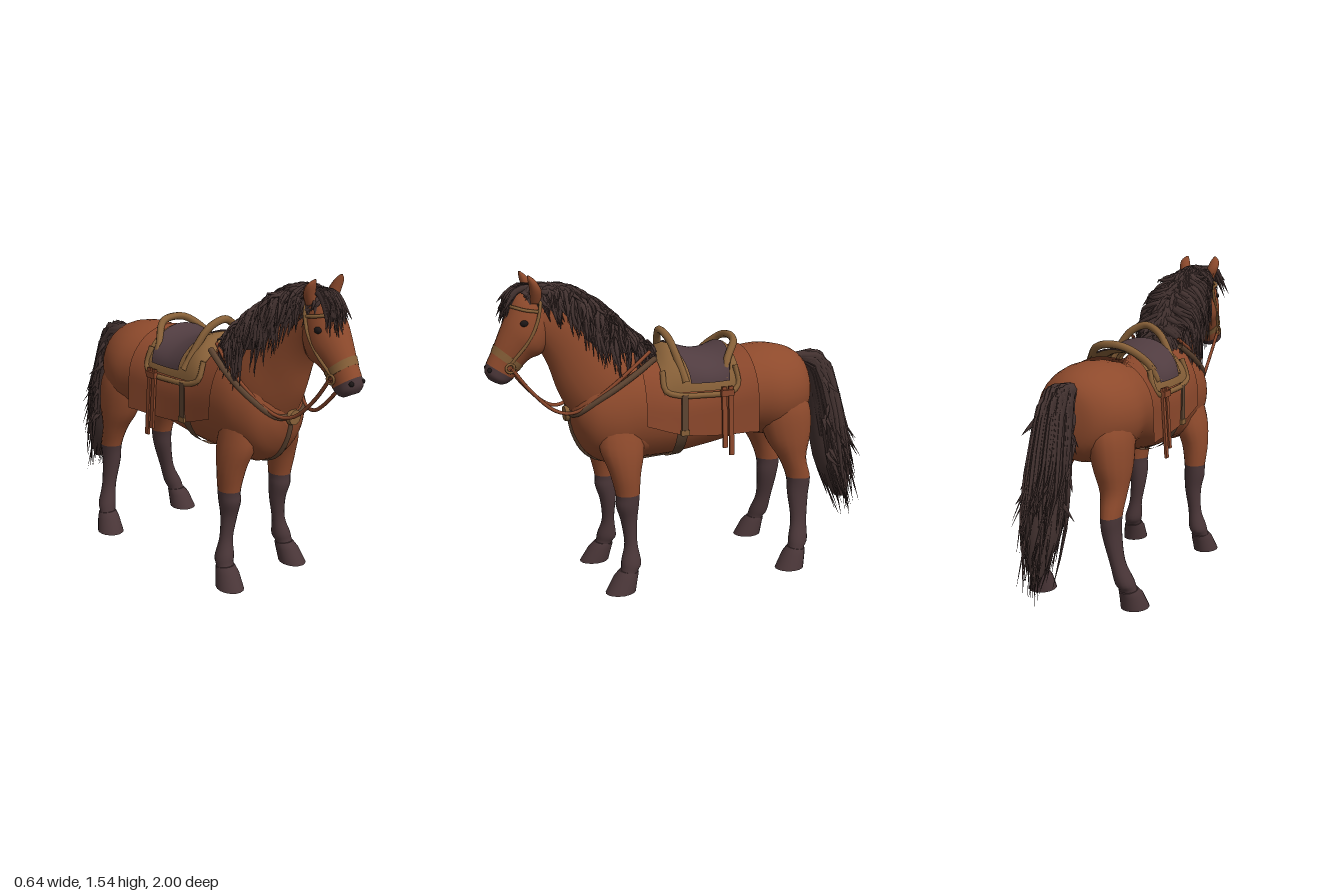
import * as THREE from 'three';
import { mergeGeometries } from 'three/addons/utils/BufferGeometryUtils.js';

const V = (x, y, z) => new THREE.Vector3(x, y, z);
const mat = (name, color, side = THREE.FrontSide) => {
  const m = new THREE.MeshStandardMaterial({ color, side });
  m.name = name;
  return m;
};

// Smoothly fills in between cross-sections (Catmull-Rom on every number)
function smooth(secs, k = 4) {
  const out = [], n = secs.length - 1;
  for (let i = 0; i < n; i++) {
    const [a, b, c, d] = [secs[Math.max(i - 1, 0)], secs[i], secs[i + 1], secs[Math.min(i + 2, n)]];
    for (let j = 0; j < k; j++) {
      const t = j / k;
      out.push(b.map((_, q) => 0.5 * (2 * b[q] + (c[q] - a[q]) * t + (2 * a[q] - 5 * b[q] + 4 * c[q] - d[q]) * t * t
        + (3 * b[q] - a[q] - 3 * c[q] + d[q]) * t * t * t)));
    }
  }
  out.push(secs[n]);
  return out;
}

// Section: [zA, yA, zB, yB, halfWidth, xCentre]; an ellipse from point A to point B
function loft(secs, N = 20) {
  const pos = [], idx = [];
  const ring = ([za, ya, zb, yb, w, x = 0]) => {
    for (let j = 0; j < N; j++) {
      const t = j / N * Math.PI * 2, c = Math.cos(t) / 2;
      pos.push(x + w * Math.sin(t), (ya + yb) / 2 + (ya - yb) * c, (za + zb) / 2 + (za - zb) * c);
    }
  };
  secs.forEach(ring);
  for (let i = 0; i < secs.length - 1; i++) for (let j = 0; j < N; j++) {
    const a = i * N + j, b = i * N + (j + 1) % N;
    idx.push(a, a + N, b, b, a + N, b + N);
  }
  const s = secs.length * N;
  ring(secs[0]);
  ring(secs[secs.length - 1]);
  for (let j = 1; j < N - 1; j++) idx.push(s, s + j, s + j + 1, s + N, s + N + j + 1, s + N + j);
  const g = new THREE.BufferGeometry();
  g.setAttribute('position', new THREE.Float32BufferAttribute(pos, 3));
  g.setIndex(idx);
  g.computeVertexNormals();
  return g;
}

// Open sheet; fn(u, v) gives a point
function sheet(nu, nv, fn) {
  const g = new THREE.PlaneGeometry(1, 1, nu, nv), p = g.attributes.position;
  for (let i = 0; i < p.count; i++) p.setXYZ(i, ...fn(p.getX(i) + 0.5, p.getY(i) + 0.5));
  g.computeVertexNormals();
  return g;
}

const curveOf = (pts) => new THREE.CatmullRomCurve3(pts.map((p) => V(...p)));
const tube = (pts, r, n = 24) => new THREE.TubeGeometry(curveOf(pts), n, r, 7);

// Tapered lock of hair
function strand(pts, r) {
  const c = curveOf(pts), n = 7, g = new THREE.TubeGeometry(c, n, r, 4), p = g.attributes.position, v = V(0, 0, 0);
  for (let i = 0; i < p.count; i++) {
    const t = Math.floor(i / 5) / n;
    v.fromBufferAttribute(p, i).lerp(c.getPointAt(t), t ** 2 * 0.97);
    p.setXYZ(i, v.x, v.y, v.z);
  }
  g.computeVertexNormals();
  return g;
}

export function createModel() {
  const root = new THREE.Group();
  let seed = 7;
  const rnd = () => (seed = (seed * 16807) % 2147483647) / 2147483647;
  const jit = (a) => (rnd() * 2 - 1) * a;
  const coat = mat('chestnut coat', 0x8e4a2c), dark = mat('dark stocking', 0x4a3638), hair = mat('hair', 0x433230);
  const tan = mat('tan leather', 0x876038, THREE.DoubleSide), seatM = mat('seat leather', 0x503c40, THREE.DoubleSide);
  const strap = mat('strap leather', 0x5f4532, THREE.DoubleSide), padM = mat('pad leather', 0x8a472b, THREE.DoubleSide);
  const black = mat('black', 0x1c1616);
  const add = (name, geo, m) => {
    const mesh = new THREE.Mesh(geo, m);
    mesh.name = name;
    root.add(mesh);
    return mesh;
  };

  // Body: z, top, bottom, half width
  const upright = (secs) => secs.map(([z, t, b, w]) => [z, t, z, b, w]);
  const body = smooth([[-0.65, 0.95, 0.82, 0.05], [-0.625, 1.04, 0.74, 0.135], [-0.55, 1.1, 0.69, 0.21], [-0.42, 1.13, 0.66, 0.252],
    [-0.28, 1.12, 0.68, 0.235], [-0.1, 1.08, 0.645, 0.207], [0.1, 1.08, 0.615, 0.2], [0.3, 1.14, 0.61, 0.205],
    [0.42, 1.11, 0.6, 0.2], [0.52, 1.05, 0.65, 0.17], [0.58, 0.98, 0.74, 0.11], [0.605, 0.92, 0.82, 0.05]]);
  add('body', loft(upright(body), 28), coat);
  add('brisket', loft(smooth(upright([[0.15, 0.8, 0.66, 0.1], [0.25, 0.86, 0.628, 0.165], [0.4, 0.92, 0.612, 0.19], [0.5, 0.94, 0.655, 0.165], [0.56, 0.92, 0.73, 0.105]]))), coat);
  // Point on the body; angle runs from the spine
  const onBody = (z, ang, off) => {
    let i = 0;
    while (i < body.length - 2 && body[i + 1][0] < z) i++;
    const f = (z - body[i][0]) / (body[i + 1][0] - body[i][0]);
    const [, t, b, w] = body[i].map((q, k) => q + (body[i + 1][k] - q) * f);
    return [(w + off) * Math.sin(ang), (t + b) / 2 + ((t - b) / 2 + off) * Math.cos(ang), z];
  };

  add('neck', loft(smooth([[0.2, 1.12, 0.5, 0.68, 0.16], [0.27, 1.17, 0.595, 0.85, 0.155], [0.4, 1.28, 0.66, 0.98, 0.118],
    [0.53, 1.4, 0.7, 1.1, 0.094], [0.65, 1.45, 0.74, 1.18, 0.08], [0.76, 1.45, 0.78, 1.22, 0.072]])), coat);
  const head = smooth([[0.76, 1.475, 0.69, 1.4, 0.05], [0.84, 1.44, 0.69, 1.25, 0.086], [0.888, 1.36, 0.73, 1.17, 0.097],
    [0.925, 1.28, 0.79, 1.145, 0.083], [0.96, 1.2, 0.84, 1.1, 0.066], [0.99, 1.14, 0.87, 1.06, 0.062],
    [1.0, 1.1, 0.9, 1.04, 0.059], [0.985, 1.065, 0.925, 1.035, 0.037]]);
  add('head', loft(head.slice(0, 21)), coat);
  add('muzzle', loft(head.slice(20)), dark);

  // Legs, ears, eyes and nostrils on both sides
  for (const s of [1, -1]) {
    const leg = (name, split, secs) => {
      const all = smooth(secs.map((q) => [...q.slice(0, 5), q[5] * s]));
      add(name + 'Upper', loft(all.slice(0, split * 4 + 1), 16), coat);
      add(name + 'Lower', loft(all.slice(split * 4), 16), dark);
    };
    leg('frontLeg', 3, [[0.48, 0.9, 0.3, 0.9, 0.05, 0.11], [0.505, 0.73, 0.28, 0.71, 0.076, 0.14], [0.465, 0.6, 0.308, 0.58, 0.066, 0.165],
      [0.435, 0.48, 0.317, 0.48, 0.053, 0.17], [0.434, 0.42, 0.322, 0.42, 0.052, 0.168], [0.41, 0.34, 0.33, 0.34, 0.042, 0.165],
      [0.398, 0.23, 0.335, 0.23, 0.034, 0.178], [0.42, 0.15, 0.322, 0.135, 0.045, 0.194], [0.425, 0.11, 0.34, 0.1, 0.042, 0.202], [0.44, 0.07, 0.36, 0.065, 0.043, 0.207]]);
    leg('hindLeg', 4, [[-0.35, 0.96, -0.54, 0.96, 0.07, 0.115], [-0.33, 0.82, -0.61, 0.83, 0.1, 0.135], [-0.37, 0.67, -0.612, 0.69, 0.088, 0.155],
      [-0.44, 0.56, -0.585, 0.56, 0.063, 0.17], [-0.48, 0.46, -0.61, 0.45, 0.049, 0.175], [-0.488, 0.37, -0.6, 0.36, 0.043, 0.178],
      [-0.497, 0.24, -0.582, 0.23, 0.034, 0.203], [-0.475, 0.15, -0.573, 0.135, 0.044, 0.23], [-0.468, 0.11, -0.552, 0.1, 0.042, 0.24], [-0.46, 0.07, -0.54, 0.065, 0.043, 0.247]]);
    add('frontHoof', loft([[0.435, 0.105, 0.338, 0.09, 0.045, 0.202 * s], [0.465, 0.075, 0.345, 0.065, 0.054, 0.206 * s], [0.51, 0, 0.36, 0, 0.062, 0.215 * s]], 16), dark);
    add('hindHoof', loft([[-0.46, 0.105, -0.555, 0.09, 0.045, 0.242 * s], [-0.43, 0.075, -0.55, 0.065, 0.055, 0.248 * s], [-0.39, 0, -0.54, 0, 0.066, 0.255 * s]], 16), dark);
    add('ear', loft(smooth([[0.79, 1.41, 0.74, 1.41, 0.022, 0.06 * s], [0.795, 1.47, 0.74, 1.47, 0.03, 0.08 * s],
      [0.803, 1.515, 0.765, 1.515, 0.024, 0.088 * s], [0.805, 1.54, 0.795, 1.54, 0.006, 0.083 * s]]).reverse(), 10), coat);
    const eye = add('eye', new THREE.SphereGeometry(0.02, 12, 8), black);
    eye.position.set(0.083 * s, 1.325, 0.825);
    eye.scale.set(0.7, 0.8, 1);
    const nostril = add('nostril', new THREE.SphereGeometry(0.012, 10, 8), black);
    nostril.position.set(0.036 * s, 1.112, 0.983);
  }

  // Mane: a full underlayer with locks falling to both sides
  add('maneBase', loft(smooth([[0.2, 1.165, 0.24, 1.1, 0.035], [0.3, 1.235, 0.4, 1.1, 0.105], [0.4, 1.335, 0.51, 1.13, 0.127],
    [0.5, 1.41, 0.58, 1.22, 0.108], [0.6, 1.465, 0.64, 1.32, 0.088], [0.7, 1.48, 0.68, 1.39, 0.07], [0.8, 1.475, 0.76, 1.43, 0.045]])), hair);
  const crest = curveOf([[0, 1.165, 0.2], [0, 1.235, 0.3], [0, 1.335, 0.4], [0, 1.41, 0.5], [0, 1.46, 0.6], [0, 1.475, 0.7], [0, 1.465, 0.8]]);
  const mane = [];
  for (let i = 0; i < 340; i++) {
    const s = i % 2 ? 1 : -1, t = rnd(), c = crest.getPointAt(t), h = rnd() ** 0.6;
    const w = 0.05 + 0.1 * Math.sin(Math.PI * t ** 0.75) + jit(0.01) - s * 0.008;
    const len = (0.07 + 0.23 * Math.sin(Math.PI * t ** 0.8)) * h * (s < 0 ? 1.3 : 1);
    mane.push(strand([[jit(0.02), c.y + jit(0.012), c.z + 0.01], [s * w * 0.65, c.y - 0.1 * len - 0.01, c.z + jit(0.02)],
      [s * w, c.y - 0.5 * len, c.z + jit(0.02)], [s * (w + 0.015), c.y - len - 0.01, c.z - 0.01 + jit(0.03)]], 0.017));
  }
  // Locks laid back along the crest
  for (let i = 0; i < 110; i++) {
    const t = 0.12 + 0.86 * rnd(), x = jit(0.075), [a, b, c] = [t, t - 0.06, t - 0.12].map((q) => crest.getPointAt(q));
    const drop = x * x * 6;
    mane.push(strand([[x * 0.5, a.y - drop * 0.5, a.z], [x, b.y + 0.012 - drop, b.z], [x * 1.1, c.y + 0.008 - drop * 1.4, c.z]], 0.018));
  }
  add('mane', mergeGeometries(mane), hair);
  const lock = [];
  for (let i = 0; i < 40; i++) {
    const x = jit(0.065) - 0.035, l = 0.06 + rnd() * 0.12;
    lock.push(strand([[x * 0.4, 1.475, 0.75], [x * 0.8, 1.47, 0.83], [x, 1.47 - l * 0.55, 0.88], [x * 1.25, 1.46 - l, 0.9 + jit(0.015)]], 0.016));
  }
  add('forelock', mergeGeometries(lock), hair);

  // Tail: full in the middle, gathered at the tip, with loose locks near the top
  add('tailBase', loft(smooth([[-0.57, 1.0, -0.58, 1.06, 0.03], [-0.66, 0.97, -0.68, 1.065, 0.055], [-0.68, 0.91, -0.78, 0.98, 0.075],
    [-0.69, 0.78, -0.84, 0.8, 0.08], [-0.71, 0.6, -0.91, 0.62, 0.088], [-0.76, 0.42, -0.95, 0.43, 0.078], [-0.87, 0.25, -0.94, 0.25, 0.025]])), hair);
  const tail = [];
  for (let i = 0; i < 190; i++) {
    const a = rnd() * Math.PI * 2, q = 0.6 + 0.4 * rnd(), x = Math.sin(a) * q, d = Math.cos(a) * q, e = 0.13 + 0.5 * rnd() ** 0.8;
    const tip = 0.025 + 0.12 * Math.min(e, 0.5);
    tail.push(strand([[x * 0.02, 1.045, -0.6], [x * 0.06, 1.02 - d * 0.03, -0.7 + d * 0.05], [x * 0.088, 0.82, -0.775 + d * 0.08],
      [x * 0.095 + jit(0.012), 0.35 + e * 0.55, -0.85 + e * 0.05 + d * 0.1], [x * tip + jit(0.03), e, -0.945 + e * 0.13 + d * (tip + 0.02) + jit(0.02)]], 0.017));
  }
  for (let i = 0; i < 18; i++) {
    const s = i % 2 ? 1 : -1, y = 0.98 - rnd() * 0.45, z = -0.72 - (0.98 - y) * 0.16;
    tail.push(strand([[s * 0.05, y, z], [s * 0.085, y - 0.03, z - 0.02 + jit(0.04)], [s * (0.105 + rnd() * 0.03), y - 0.1, z - 0.03 + jit(0.06)]], 0.015));
  }
  add('tail', mergeGeometries(tail), hair);

  // Saddle pad: follows the body, then hangs straight below its widest line
  add('saddlePad', sheet(16, 36, (u, v) => {
    const z = -0.28 + 0.57 * u, a = (v * 2 - 1) * (2.3 - 0.53 * u), hang = Math.max(0, Math.abs(a) - 1.57);
    const p = onBody(z, a, 0.016);
    const x = hang ? Math.sign(a) * (Math.abs(onBody(z, 1.57, 0.016)[0]) + 0.01 * hang) : p[0];
    return [x, p[1], z];
  }), padM);

  // Saddle skirt and seat
  const saddleTop = curveOf([[0, 1.1, 0.21], [0, 1.17, 0.14], [0, 1.145, 0.07], [0, 1.125, -0.03], [0, 1.13, -0.12], [0, 1.16, -0.2]]);
  const saddle = (z0, z1, low, off, flare) => sheet(16, 28, (u, v) => {
    const z = z0 + (z1 - z0) * u, a = (v * 2 - 1) * 1.48;
    const top = saddleTop.getPoint(Math.min(1, Math.max(0, (0.21 - z) / 0.41))).y + off;
    return [(0.212 + off) * Math.sin(a), low + (top - low) * Math.cos(a), z + flare * Math.sin(a) ** 2 * (2 * u - 1)];
  });
  add('saddleSkirt', saddle(-0.19, 0.19, 0.945, 0, 0.01), tan);
  add('saddleSeat', saddle(-0.18, 0.11, 0.99, 0.007, -0.045), seatM);
  const band = (half, r, name) => add(name, tube([...half.map(([x, y, z]) => [-x, y, z]), ...half.slice(0, -1).reverse()], r, 40), tan);
  band([[0.2, 1.01, 0.085], [0.155, 1.09, 0.1], [0.08, 1.2, 0.125], [0, 1.235, 0.14]], 0.019, 'pommel');
  band([[0.2, 1.01, -0.12], [0.16, 1.09, -0.145], [0.08, 1.17, -0.215], [0, 1.185, -0.225]], 0.019, 'cantle');
  for (const s of [1, -1]) {
    add('skirtEdge', tube([[0.172 * s, 1.07, 0.195], [0.205 * s, 0.98, 0.19], [0.215 * s, 0.955, 0.13], [0.217 * s, 0.945, 0], [0.217 * s, 0.95, -0.15],
      [0.208 * s, 0.98, -0.185], [0.18 * s, 1.07, -0.18]], 0.014), tan);
    // Hanging straps with a knot
    for (const [z, low] of [[-0.1, 0.68], [-0.135, 0.64]]) {
      const h = 0.98 - low, m = add('hangingStrap', new THREE.BoxGeometry(0.012, h, 0.024), padM);
      m.position.set(0.241 * s, low + h / 2, z);
      m.rotation.z = 0.07 * s;
    }
    const knot = add('strapKnot', new THREE.BoxGeometry(0.022, 0.03, 0.065), padM);
    knot.position.set(0.236 * s, 0.95, -0.115);
    // Girth tab and buckle
    const tab = add('girthTab', new THREE.BoxGeometry(0.008, 0.2, 0.032), strap);
    tab.position.set(0.226 * s, 0.855, 0.1);
    const buckle = add('girthBuckle', new THREE.BoxGeometry(0.012, 0.025, 0.042), tan);
    buckle.position.set(0.227 * s, 0.77, 0.1);

    // Breast collar, reins and bridle
    add('breastCollar', tube([[0, 0.865, 0.612], [0.09 * s, 0.88, 0.592], [0.155 * s, 0.96, 0.49], [0.17 * s, 1.05, 0.35], [0.15 * s, 1.13, 0.22]], 0.015), strap);
    add('rein', tube([[0.068 * s, 1.12, 0.89], [0.065 * s, 1.0, 0.8], [0.075 * s, 0.9, 0.69], [0.1 * s, 0.89, 0.61],
      [0.152 * s, 0.99, 0.47], [0.155 * s, 1.09, 0.34], [0.13 * s, 1.16, 0.24]], 0.009, 32), padM);
    add('cheekStrap', tube([[0.066 * s, 1.14, 0.89], [0.088 * s, 1.23, 0.82], [0.094 * s, 1.32, 0.77], [0.078 * s, 1.42, 0.745], [0, 1.47, 0.73]], 0.008), tan);
    add('browband', tube([[0.088 * s, 1.375, 0.76], [0.083 * s, 1.385, 0.82], [0.05 * s, 1.395, 0.86], [0, 1.395, 0.873]], 0.008), tan);
    const ring = add('bitRing', new THREE.TorusGeometry(0.02, 0.006, 6, 16), tan);
    ring.position.set(0.07 * s, 1.12, 0.895);
    ring.rotation.y = Math.PI / 2;
  }
  add('noseband', loft([[0.952, 1.225, 0.822, 1.115, 0.074], [0.966, 1.19, 0.843, 1.092, 0.07]]), tan);
  add('girth', sheet(1, 32, (u, v) => onBody(0.072 + 0.056 * u, 1.85 + v * (2 * Math.PI - 3.7), 0.012)), strap);
  add('chestStrap', tube([[0, 0.865, 0.605], [0, 0.76, 0.583], [0, 0.66, 0.525], [0, 0.612, 0.42], [0, 0.614, 0.1]], 0.016), strap);
  const medal = add('medallion', new THREE.CylinderGeometry(0.036, 0.04, 0.02, 16), tan);
  medal.position.set(0, 0.865, 0.622);
  medal.rotation.x = Math.PI / 2;
  return root;
}
